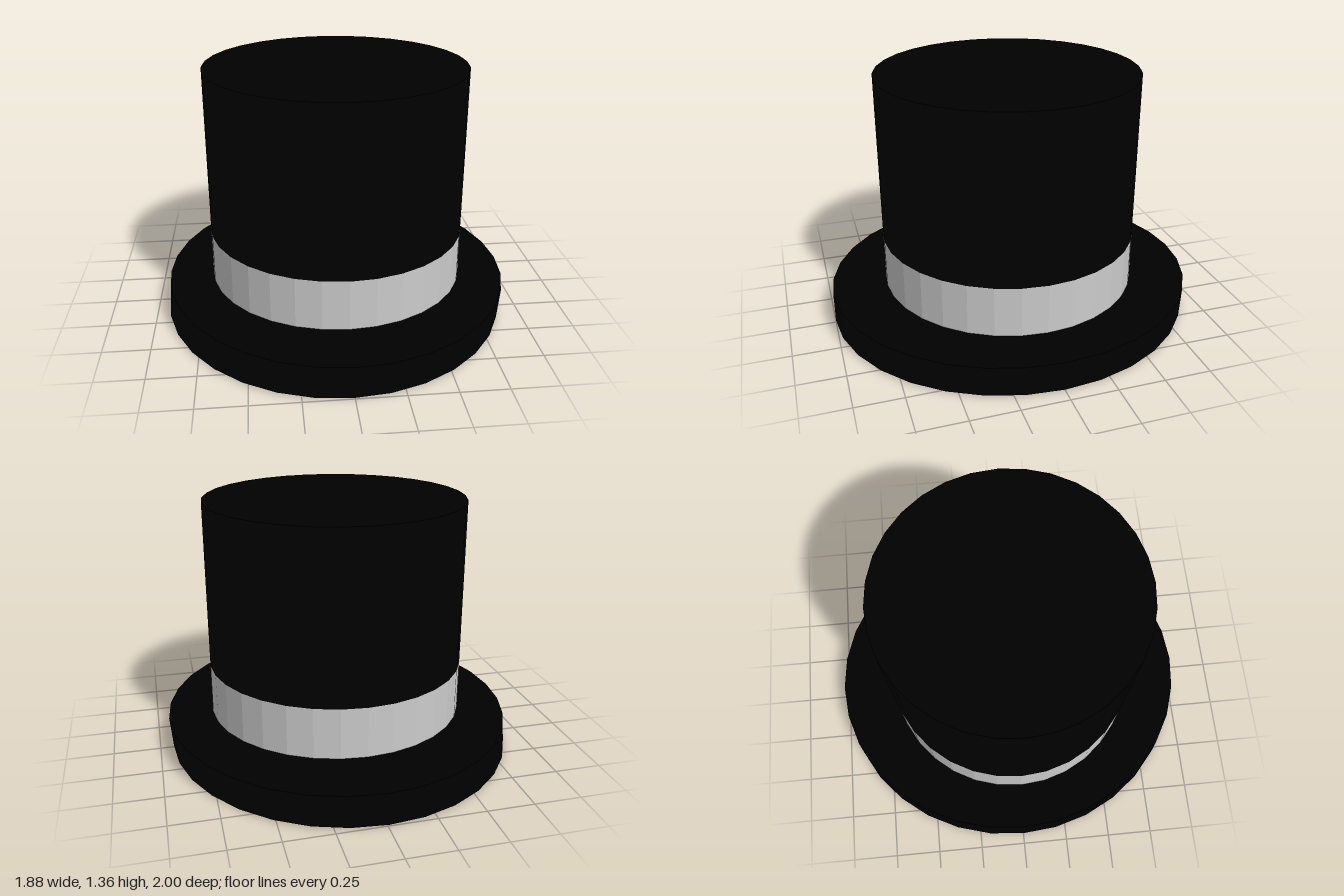
import * as THREE from 'three';

const SIDES = 32;

// Slightly oval turned part that leans gently toward +x
function turnedOval(points) {
  const profile = points.map(([r, y]) => new THREE.Vector2(r, y));
  const geometry = new THREE.LatheGeometry(profile, SIDES);
  geometry.scale(0.935, 1, 1);
  const p = geometry.attributes.position;
  for (let i = 0; i < p.count; i++) {
    p.setX(i, p.getX(i) + (p.getY(i) - 0.09) * 0.085);
  }
  geometry.computeVertexNormals();
  return geometry;
}

export function createModel() {
  const group = new THREE.Group();
  const black = new THREE.MeshStandardMaterial({ color: 0x000000, flatShading: true });
  const grey = new THREE.MeshStandardMaterial({ color: 0xcccccc, flatShading: true });

  const add = (name, geometry, material, x = 0, y = 0, z = 0) => {
    const mesh = new THREE.Mesh(geometry, material);
    mesh.name = name;
    mesh.position.set(x, y, z);
    group.add(mesh);
  };

  // Thick brim with a drooping top and a head opening
  add('brim', turnedOval([
    [0.66, 0.18], [0.66, 0], [0.78, 0], [1, 0.006], [1, 0.176], [0.7, 0.19], [0.66, 0.19],
  ]), black);

  // Hollow above the opening, closed by a flat ceiling inside the band
  add('lining', turnedOval([[0, 0.3], [0.66, 0.3], [0.66, 0.18]]), black);

  // Crown stands a touch off centre, with the band flush beneath it
  const cx = 0.007, cz = 0.01, radius = 0.694;
  const bandBottom = 0.18, bandTop = 0.46, top = 1.355;
  add('crown', new THREE.CylinderGeometry(radius, radius, top - bandTop, SIDES),
    black, cx, (top + bandTop) / 2, cz);
  add('band', new THREE.CylinderGeometry(radius, radius, bandTop - bandBottom, SIDES, 1, true),
    grey, cx, (bandTop + bandBottom) / 2, cz);

  return group;
}
